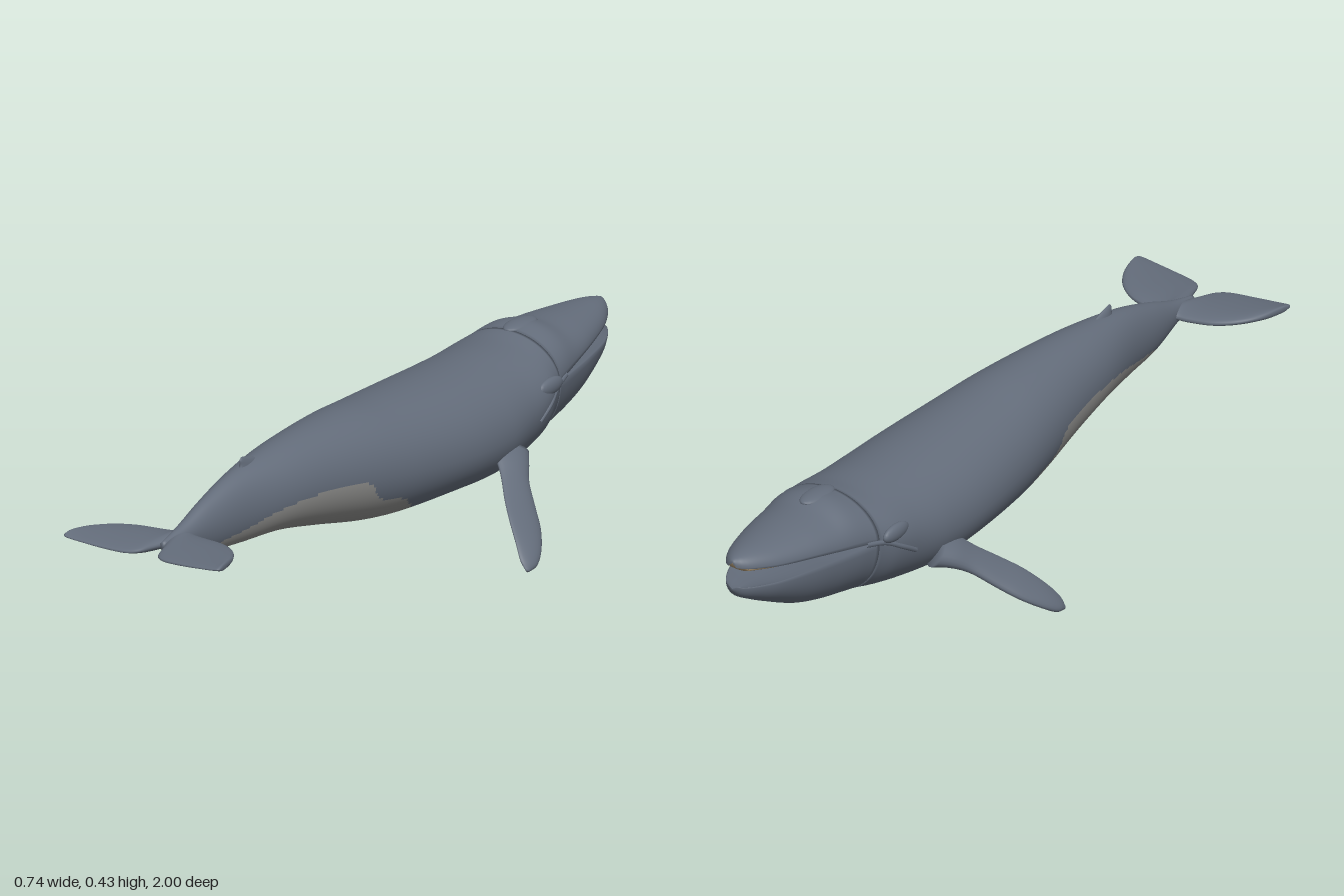
import * as THREE from 'three';

const mat = (name, color, side = THREE.FrontSide) => {
  const m = new THREE.MeshStandardMaterial({ color, side });
  m.name = name;
  return m;
};

// Smooth lookup in a table of rows [key, value, value...]
function sample(table, k) {
  const n = table.length;
  let i = 0;
  while (i < n - 2 && k > table[i + 1][0]) i++;
  const at = j => table[Math.min(n - 1, Math.max(0, j))];
  const [p, a, b, q] = [at(i - 1), at(i), at(i + 1), at(i + 2)];
  const h = b[0] - a[0], t = Math.min(1, Math.max(0, (k - a[0]) / h));
  return a.slice(1).map((_, c) => {
    const v = c + 1;
    const m0 = (b[v] - p[v]) / (b[0] - p[0]) * h, m1 = (q[v] - a[v]) / (q[0] - a[0]) * h;
    const t2 = t * t, t3 = t2 * t;
    return (2 * t3 - 3 * t2 + 1) * a[v] + (t3 - 2 * t2 + t) * m0 + (3 * t2 - 2 * t3) * b[v] + (t3 - t2) * m1;
  });
}

// Skin over closed rings of points; pick(centre) chooses the material index of each quad
function loft(rings, pick = () => 0) {
  const n = rings[0].length, pos = [], lists = [[], []];
  rings.forEach(r => r.forEach(p => pos.push(p.x, p.y, p.z)));
  for (let i = 0; i < rings.length - 1; i++) {
    for (let j = 0; j < n; j++) {
      const k = (j + 1) % n, a = i * n + j, b = i * n + k, c = a + n, d = b + n;
      const mid = rings[i][j].clone().add(rings[i + 1][k]).multiplyScalar(0.5);
      lists[pick(mid)].push(a, b, c, b, d, c);
    }
  }
  [0, rings.length - 1].forEach(i => {
    const c = new THREE.Vector3();
    rings[i].forEach(p => c.addScaledVector(p, 1 / n));
    const id = pos.length / 3;
    pos.push(c.x, c.y, c.z);
    for (let j = 0; j < n; j++) {
      const a = i * n + j, b = i * n + (j + 1) % n;
      lists[0].push(id, ...(i ? [a, b] : [b, a]));
    }
  });
  const g = new THREE.BufferGeometry();
  g.setAttribute('position', new THREE.Float32BufferAttribute(pos, 3));
  g.setIndex([...lists[0], ...lists[1]]);
  g.addGroup(0, lists[0].length, 0);
  if (lists[1].length) g.addGroup(lists[0].length, lists[1].length, 1);
  g.computeVertexNormals();
  return g;
}

// Fin with oval sections: stations [x, y, z, half chord, half thickness]; side -1 mirrors it
function fin(stations, axis, normal, side = 1) {
  const chord = normal.clone().cross(axis).normalize();
  const table = stations.map((s, i) => [i, ...s]);
  const rings = [];
  for (let i = 0; i <= (stations.length - 1) * 5; i++) {
    const [x, y, z, c, t] = sample(table, i / 5);
    const ring = [];
    for (let j = 0; j < 24; j++) {
      const a = j / 24 * Math.PI * 2;
      const p = new THREE.Vector3(x, y, z).addScaledVector(chord, c * Math.cos(a))
        .addScaledVector(normal, t * Math.sin(a) * (1 + 0.3 * Math.cos(a)));
      p.x *= side;
      ring.push(p);
    }
    rings.push(side < 0 ? ring.reverse() : ring);
  }
  return loft(rings);
}

// z, top, bottom, widest height, half width
const BODY = [
  [-1, 0.382, 0.298, 0.338, 0.012], [-0.985, 0.387, 0.28, 0.335, 0.03], [-0.95, 0.393, 0.26, 0.332, 0.053],
  [-0.9, 0.397, 0.235, 0.328, 0.076], [-0.8, 0.404, 0.19, 0.324, 0.107], [-0.72, 0.411, 0.168, 0.318, 0.125],
  [-0.66, 0.424, 0.158, 0.314, 0.138], [-0.6, 0.416, 0.148, 0.308, 0.15], [-0.54, 0.407, 0.137, 0.29, 0.169],
  [-0.45, 0.405, 0.123, 0.265, 0.177], [-0.35, 0.405, 0.115, 0.25, 0.186], [-0.2, 0.41, 0.122, 0.25, 0.185],
  [0, 0.42, 0.13, 0.265, 0.165], [0.13, 0.428, 0.147, 0.28, 0.145], [0.3, 0.428, 0.185, 0.3, 0.115],
  [0.45, 0.42, 0.215, 0.31, 0.09], [0.6, 0.402, 0.225, 0.31, 0.057], [0.72, 0.37, 0.24, 0.305, 0.038],
  [0.82, 0.335, 0.275, 0.305, 0.022], [0.9, 0.316, 0.295, 0.305, 0.008],
];
const MOUTH = -0.6;
const gape = z => 0.026 * Math.pow(Math.max(0, (MOUTH - z) / 0.4), 0.8);

// Upper edge of the pale belly, and half width of the dark patch within it
const PALE = [[-0.42, 0.105], [-0.36, 0.125], [-0.25, 0.137], [-0.1, 0.14], [-0.02, 0.155], [0.06, 0.205],
  [0.15, 0.23], [0.2, 0.285], [0.3, 0.3], [0.465, 0.3], [0.6, 0.275], [0.73, 0.25], [0.76, 0.2]];
const PATCH = [[0.01, 0], [0.04, 0.05], [0.15, 0.045], [0.28, 0.033], [0.35, 0]];
const isPale = p => {
  if (p.z < -0.42 || p.z > 0.76 || p.y > sample(PALE, p.z)[0]) return 0;
  return p.z > 0.01 && p.z < 0.35 && Math.abs(p.x) < sample(PATCH, p.z)[0] ? 0 : 1;
};

// Point of the body section at angle t, counted from the belly; lift moves the widest line
function hull(z, t, lift = 0) {
  const [top, bottom, m, w] = sample(BODY, z);
  const mid = m + lift, s = Math.sin(t), c = -Math.cos(t);
  const x = w * Math.sign(s) * Math.pow(Math.abs(s), c < 0 ? 0.88 : 1);
  return new THREE.Vector3(x, mid + c * (c > 0 ? top - mid : mid - bottom), z);
}

const span = (z0, z1, n, f) => Array.from({ length: n + 1 }, (_, i) => f(z0 + (z1 - z0) * i / n));

// Half hull from lip to lip, closed by a gently arched inner face
function jawRing(z, upper) {
  const ring = [], lift = upper ? gape(z) : -gape(z), start = upper ? Math.PI / 2 : -Math.PI / 2;
  for (let j = 0; j <= 32; j++) ring.push(hull(z, start + j / 32 * Math.PI, lift));
  const a = ring[32], b = ring[0];
  [0.02, 0.08, 0.25, 0.5, 0.75, 0.92, 0.98].forEach(k => {
    const p = a.clone().lerp(b, k);
    p.y += (upper ? 1 : -1) * Math.sin(k * Math.PI) * Math.min(0.012, gape(z));
    ring.push(p);
  });
  return ring;
}

export function createModel() {
  const whale = new THREE.Group();
  whale.name = 'whale';
  const skin = mat('slateSkin', 0x636c7a);
  const pale = mat('paleBelly', 0x8b8b89);
  const tan = mat('baleenTan', 0xa08b6b);
  const add = (name, geometry, material = skin) => {
    const m = new THREE.Mesh(geometry, material);
    m.name = name;
    whale.add(m);
    return m;
  };

  // Trunk with the pale belly
  add('body', loft(span(MOUTH, 0.9, 170, z =>
    Array.from({ length: 96 }, (_, j) => hull(z, j / 96 * Math.PI * 2))), isPale), [skin, pale]);

  // Jaws and baleen
  add('upperJaw', loft(span(-1, MOUTH, 40, z => jawRing(z, true))));
  add('lowerJaw', loft(span(-1, MOUTH, 40, z => jawRing(z, false))));
  add('baleen', loft(span(-0.975, MOUTH, 30, z => {
    const [, , m, w] = sample(BODY, z);
    return Array.from({ length: 32 }, (_, j) => {
      const t = j / 32 * Math.PI * 2, y = -Math.cos(t);
      return new THREE.Vector3(w * 0.88 * Math.sin(t), m + gape(z) + 0.002 + 0.014 * Math.sign(y) * Math.sqrt(Math.abs(y)), z);
    });
  })), tan);

  // Blowhole ridge
  const ridge = add('blowholeRidge', new THREE.SphereGeometry(1, 24, 16));
  ridge.scale.set(0.03, 0.012, 0.06);
  ridge.position.set(0, 0.415, -0.65);

  // Dorsal fin
  add('dorsalFin', fin([[0, 0.385, 0.5, 0.075, 0.014], [0, 0.41, 0.525, 0.04, 0.009],
    [0, 0.424, 0.545, 0.02, 0.005], [0, 0.432, 0.556, 0.004, 0.001]],
  new THREE.Vector3(0, 1, 0), new THREE.Vector3(1, 0, 0)));

  // Flukes: x, leading z, trailing z, height, half thickness
  const flukes = [[0, 0.785, 0.885, 0.305, 0.018], [0.015, 0.793, 0.925, 0.305, 0.017],
    [0.03, 0.798, 0.965, 0.304, 0.016], [0.06, 0.802, 0.985, 0.304, 0.015], [0.12, 0.816, 0.993, 0.307, 0.013],
    [0.17, 0.85, 0.996, 0.311, 0.011], [0.205, 0.9, 0.997, 0.314, 0.01], [0.221, 0.95, 0.995, 0.316, 0.008],
    [0.226, 0.978, 0.99, 0.316, 0.003]].map(([x, a, b, y, t]) => [x, y, (a + b) / 2, (b - a) / 2, t]);
  // Flippers
  const flipper = [[0.15, 0.205, -0.37, 0.06, 0.03], [0.182, 0.19, -0.34, 0.05, 0.022],
    [0.215, 0.163, -0.305, 0.042, 0.015], [0.26, 0.122, -0.26, 0.046, 0.013], [0.3, 0.087, -0.222, 0.047, 0.012],
    [0.337, 0.05, -0.182, 0.038, 0.011], [0.358, 0.022, -0.152, 0.025, 0.009], [0.366, 0.007, -0.135, 0.005, 0.003]];

  [['left', 1], ['right', -1]].forEach(([word, s]) => {
    add(word + 'Fluke', fin(flukes, new THREE.Vector3(1, 0, 0), new THREE.Vector3(0, 1, 0), s));
    add(word + 'Flipper', fin(flipper, new THREE.Vector3(0.557, -0.543, 0.63),
      new THREE.Vector3(0.7, 0.714, 0), s));
    // Brow over the eye and the fold running down from the mouth corner
    const brow = add(word + 'EyeBrow', new THREE.SphereGeometry(1, 20, 14));
    brow.scale.set(0.014, 0.022, 0.05);
    brow.position.set(s * 0.158, 0.318, -0.545);
    const fold = [[-0.64, 1.6], [-0.58, 1.57], [-0.53, 1.5], [-0.48, 1.4]].map(([z, t]) => {
      const p = hull(z, t);
      return new THREE.Vector3((p.x - 0.003) * s, p.y, z);
    });
    add(word + 'MouthFold', new THREE.TubeGeometry(new THREE.CatmullRomCurve3(fold), 24, 0.007, 10));
  });
  return whale;
}
